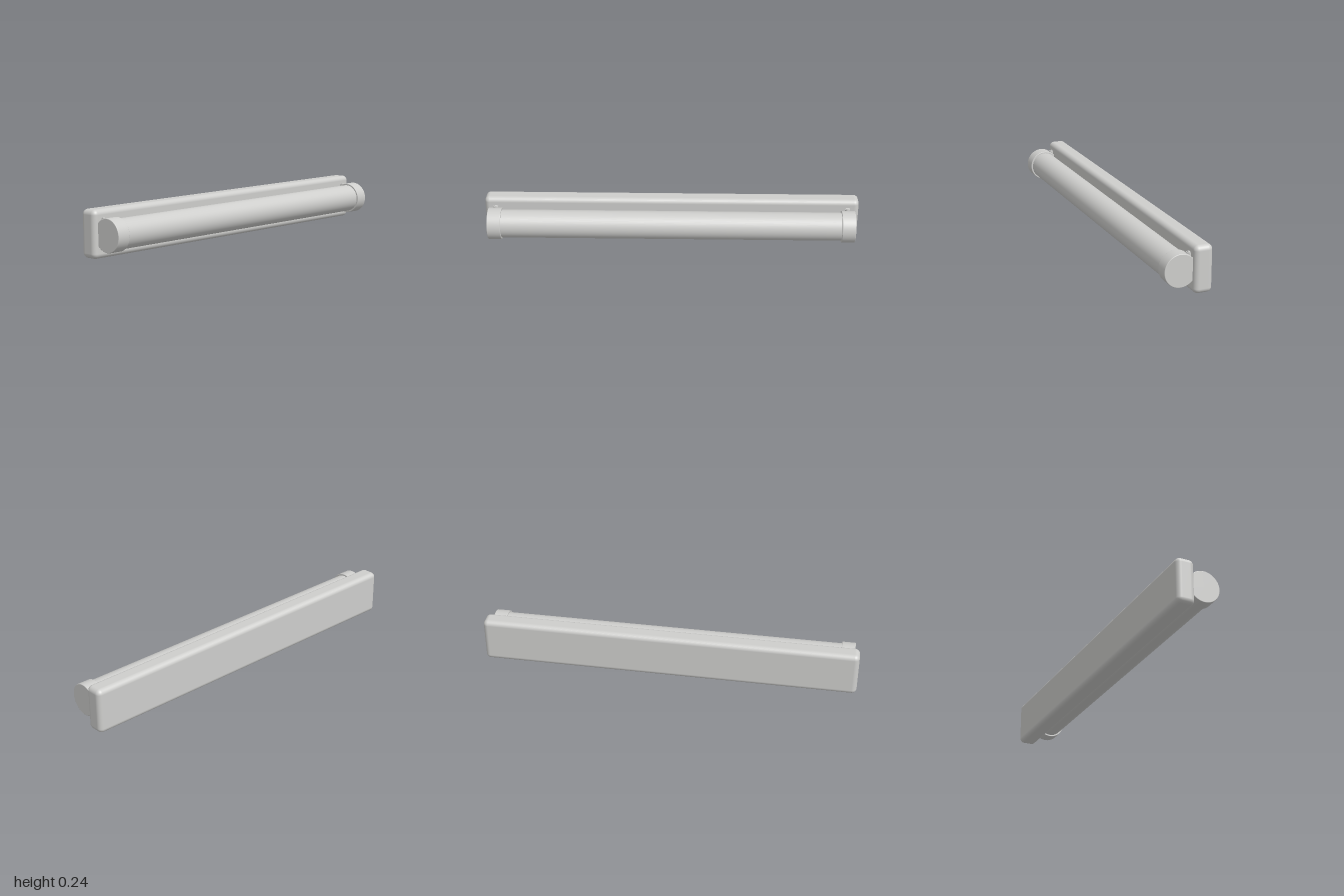
import * as THREE from 'three';
import { RoundedBoxGeometry } from 'three/addons/geometries/RoundedBoxGeometry.js';

export function createModel() {
  const group = new THREE.Group();
  const lightGrey = new THREE.MeshStandardMaterial({ color: 0xcececc });
  lightGrey.name = 'lightGrey';
  const Y = 0.122, Z = 0.037;

  const add = (name, geometry, x, y, z) => {
    const mesh = new THREE.Mesh(geometry, lightGrey);
    mesh.name = name;
    mesh.position.set(x, y, z);
    group.add(mesh);
    return mesh;
  };

  // Wall plate with rounded edges
  add('backPlate', new RoundedBoxGeometry(2, 0.24, 0.096, 5, 0.026), 0, 0.121, -0.072);

  // Long lamp tube
  add('lampTube', new THREE.CylinderGeometry(0.075, 0.075, 1.84, 64).rotateZ(Math.PI / 2), 0, Y, Z);

  // End cap profile: flat discs with softly rounded rims
  const R = 0.084, H = 0.036, b = 0.003;
  const discs = [[0, R - b], [R - b, 0]].map(([a, c]) => [a, c]);
  const rim = [];
  for (const s of [-1, 1]) {
    for (let i = 0; i <= 4; i++) {
      const a = s < 0 ? -Math.PI / 2 + (i / 4) * Math.PI / 2 : (i / 4) * Math.PI / 2;
      rim.push(new THREE.Vector2(R - b + b * Math.cos(a), s * (H - b) + b * Math.sin(a)));
    }
  }

  for (const side of [-1, 1]) {
    const x = side * 0.939;
    add('endCapRim', new THREE.LatheGeometry(rim, 64).rotateZ(Math.PI / 2), x, Y, Z);
    discs.forEach((_, i) => {
      const face = new THREE.CircleGeometry(R - b, 64).rotateY(i ? Math.PI / 2 : -Math.PI / 2);
      add('endCapFace', face, x + (i ? H : -H), Y, Z);
    });

    // Small pivot pin between the cap and the plate
    add('pivotPin', new THREE.CylinderGeometry(0.014, 0.014, 0.152, 24), x, Y, -0.02);
    for (const up of [-1, 1])
      add('pivotPinHead', new THREE.CylinderGeometry(0.01, 0.01, 0.008, 24), x, Y + up * 0.075, -0.022);
  }
  return group;
}
